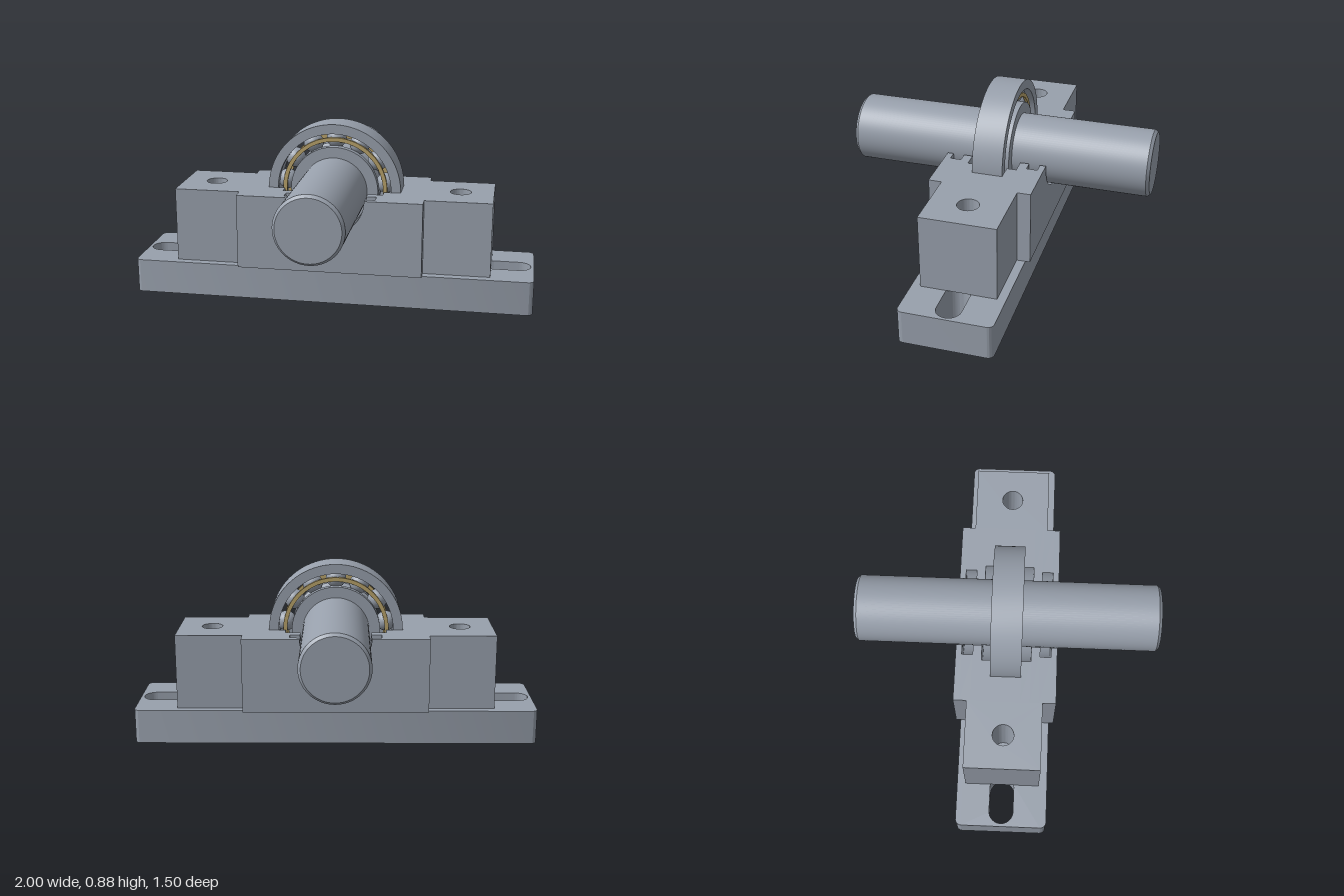
import * as THREE from 'three';
import { toCreasedNormals } from 'three/addons/utils/BufferGeometryUtils.js';

const AXIS_Y = 0.543, BASE_H = 0.17;
const BALL_R = 0.05, PITCH_R = 0.252, BALLS = 13;

export function createModel() {
  const steel = new THREE.MeshStandardMaterial({ color: 0x98a0ac });
  steel.name = 'steel grey';
  const brass = new THREE.MeshStandardMaterial({ color: 0xb8a26a });
  brass.name = 'cage brass';

  const model = new THREE.Group();
  model.name = 'pillowBlockBearing';

  const add = (parent, name, geometry, material = steel) => {
    const mesh = new THREE.Mesh(geometry, material);
    mesh.name = name;
    parent.add(mesh);
    return mesh;
  };
  const extrude = (shape, depth) => toCreasedNormals(
    new THREE.ExtrudeGeometry(shape, { depth, bevelEnabled: false, curveSegments: 32 }), 0.5);
  // Plan shape extruded upwards
  const plate = (shape, height) => extrude(shape, height).rotateX(-Math.PI / 2);
  // Profile of [radius, z] pairs turned about the z axis
  const turned = (profile) => toCreasedNormals(
    new THREE.LatheGeometry(profile.map(([r, z]) => new THREE.Vector2(r, z)), 96), 0.5)
    .rotateX(Math.PI / 2);

  // Base plate with rounded corners and a mounting slot at each end
  const w = 1, d = 0.227, c = 0.03;
  const base = new THREE.Shape();
  base.absarc(w - c, d - c, c, 0, Math.PI / 2);
  base.absarc(-w + c, d - c, c, Math.PI / 2, Math.PI);
  base.absarc(-w + c, -d + c, c, Math.PI, Math.PI * 1.5);
  base.absarc(w - c, -d + c, c, Math.PI * 1.5, Math.PI * 2);
  base.closePath();
  for (const s of [-1, 1]) {
    const slot = new THREE.Path();
    slot.absarc(s * 0.865 + 0.06, 0, 0.06, -Math.PI / 2, Math.PI / 2);
    slot.absarc(s * 0.865 - 0.06, 0, 0.06, Math.PI / 2, Math.PI * 1.5);
    slot.closePath();
    base.holes.push(slot);
  }
  add(model, 'basePlate', plate(base, BASE_H));

  // Housing: end blocks with bolt holes
  const housing = new THREE.Group();
  housing.name = 'housing';
  model.add(housing);
  const end = new THREE.Shape([[-0.165, -0.185], [0.165, -0.185], [0.165, 0.185], [-0.165, 0.185]]
    .map(([x, y]) => new THREE.Vector2(x, y)));
  end.holes.push(new THREE.Path().absarc(0, 0, 0.052, 0, Math.PI * 2, true));
  for (const s of [-1, 1]) {
    add(housing, s > 0 ? 'leftEndBlock' : 'rightEndBlock', plate(end, AXIS_Y - BASE_H))
      .position.set(s * 0.624, BASE_H, 0);
  }

  // Housing: centre saddle in slices, each with its own half bore
  const saddleSlice = (bore, z0, z1) => {
    const s = new THREE.Shape();
    s.moveTo(-0.459, BASE_H);
    s.lineTo(0.459, BASE_H);
    s.lineTo(0.459, AXIS_Y);
    s.lineTo(bore, AXIS_Y);
    s.absarc(0, AXIS_Y, bore, 0, -Math.PI, true);
    s.lineTo(-0.459, AXIS_Y);
    s.closePath();
    add(housing, 'saddleSlice', extrude(s, z1 - z0)).position.z = z0;
  };
  saddleSlice(0.333, -0.075, 0.075);
  for (const [bore, z0, z1] of [
    [0.25, 0.075, 0.122], [0.175, 0.122, 0.166], [0.225, 0.166, 0.22], [0.175, 0.22, 0.25],
  ]) {
    saddleSlice(bore, z0, z1);
    saddleSlice(bore, -z1, -z0);
  }

  // Chamfered shaft
  add(model, 'shaft', turned([
    [0, -0.75], [0.152, -0.75], [0.165, -0.735], [0.165, 0.735], [0.152, 0.75], [0, 0.75],
  ])).position.y = AXIS_Y;

  // Bearing: two grooved rings, balls and cage
  const bearing = new THREE.Group();
  bearing.name = 'bearing';
  bearing.position.y = AXIS_Y;
  model.add(bearing);

  const groove = (side, from, to) => {
    const points = [];
    for (let i = 0; i <= 12; i++) {
      const a = from + (to - from) * i / 12;
      points.push([PITCH_R + side * BALL_R * Math.cos(a), BALL_R * Math.sin(a)]);
    }
    return points;
  };
  const half = Math.acos(0.033 / BALL_R);
  add(bearing, 'outerRing', turned([
    [0.285, -0.075], [0.333, -0.075], [0.333, 0.075], [0.285, 0.075],
    ...groove(1, half, -half), [0.285, -0.075],
  ]));
  add(bearing, 'innerRing', turned([
    [0.165, -0.075], [0.219, -0.075], ...groove(-1, -half, half),
    [0.219, 0.075], [0.165, 0.075], [0.165, -0.075],
  ]));

  const ballGeometry = new THREE.SphereGeometry(BALL_R, 24, 16);
  for (let i = 0; i < BALLS; i++) {
    const a = Math.PI / 2 + i * Math.PI * 2 / BALLS;
    add(bearing, 'ball', ballGeometry)
      .position.set(PITCH_R * Math.cos(a), PITCH_R * Math.sin(a), 0);
  }

  const cageGeometry = turned([
    [0.243, -0.007], [0.263, -0.007], [0.263, 0.007], [0.243, 0.007], [0.243, -0.007],
  ]);
  for (const s of [-1, 1]) {
    add(bearing, s > 0 ? 'frontCageRing' : 'backCageRing', cageGeometry, brass).position.z = s * 0.051;
  }

  return model;
}
